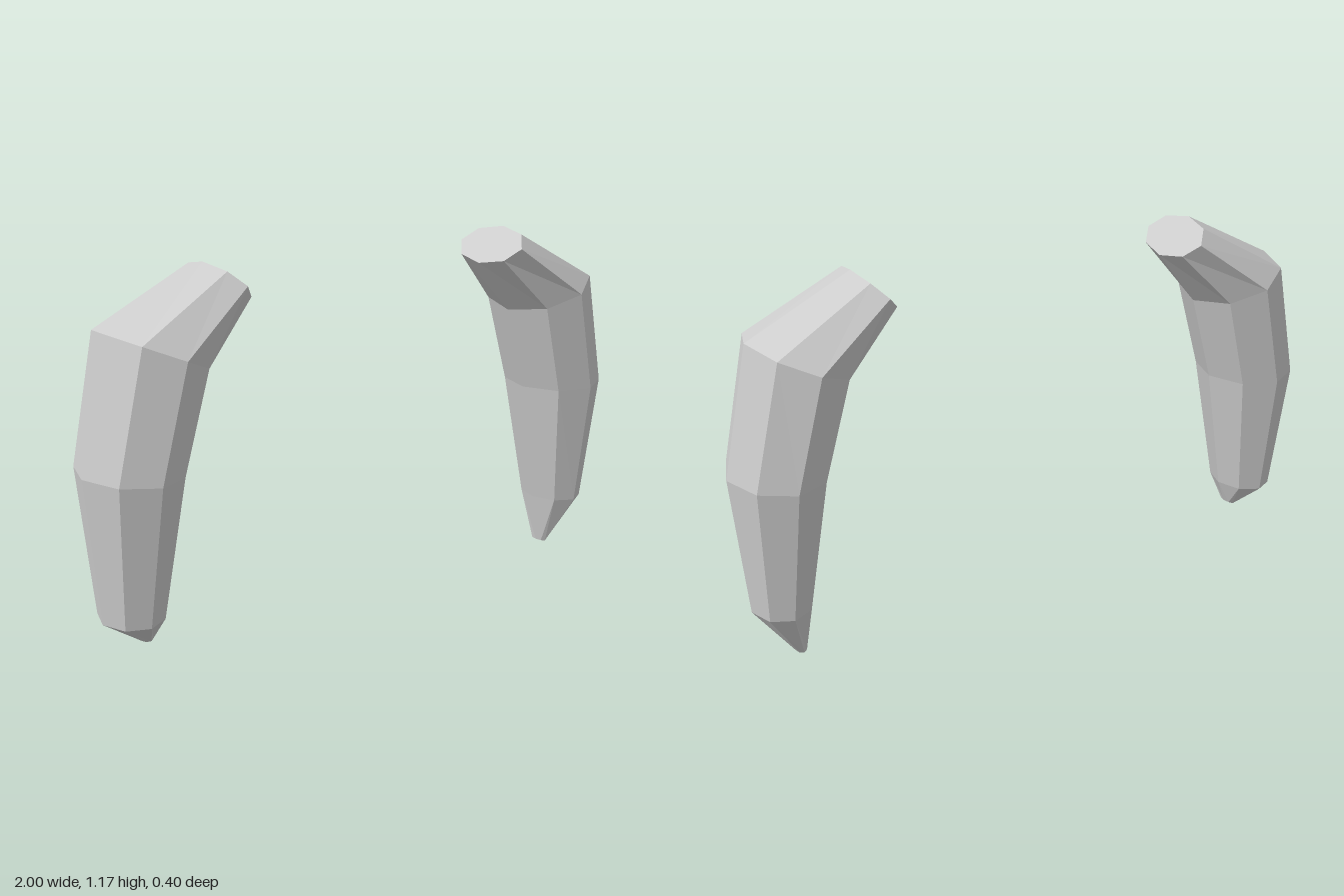
import * as THREE from 'three';

const SIDES = 8;

// Sections from base to tip: outer x, outer y, inner x, inner y, half depth in z
const BODY = [
  [0.59, 1.168, 0.48, 1.055, 0.142],
  [0.915, 1.007, 0.625, 0.88, 0.198],
  [1.0, 0.612, 0.708, 0.597, 0.184],
  [0.962, 0.172, 0.778, 0.176, 0.115],
];
const LONG_TIP = [0.836, 0.0, 0.803, 0.006, 0.03];
const SHORT_TIP = [0.842, 0.088, 0.808, 0.097, 0.03];

// Octagonal loft through the sections, closed at both ends; side is +1 or -1 in x
function hornGeometry(sections, side) {
  const positions = [];
  const index = [];
  const centre = ([ox, oy, ix, iy]) => [side * (ox + ix) / 2, (oy + iy) / 2, 0];

  for (const s of sections) {
    const [ox, oy, ix, iy, depth] = s;
    const [cx, cy] = centre(s);
    for (let j = 0; j < SIDES; j++) {
      const a = (j / SIDES) * Math.PI * 2;
      positions.push(
        cx + side * Math.cos(a) * (ox - ix) / 2,
        cy + Math.cos(a) * (oy - iy) / 2,
        side * Math.sin(a) * depth
      );
    }
  }
  const last = sections.length - 1;
  const baseCentre = sections.length * SIDES;
  const tipCentre = baseCentre + 1;
  positions.push(...centre(sections[0]), ...centre(sections[last]));

  for (let j = 0; j < SIDES; j++) {
    const k = (j + 1) % SIDES;
    for (let i = 0; i < last; i++) {
      const r = i * SIDES, d = r + SIDES;
      index.push(r + j, r + k, d + j, r + k, d + k, d + j);
    }
    index.push(baseCentre, k, j);
    index.push(tipCentre, last * SIDES + j, last * SIDES + k);
  }

  const geometry = new THREE.BufferGeometry();
  geometry.setAttribute('position', new THREE.Float32BufferAttribute(positions, 3));
  geometry.setIndex(index);
  const faceted = geometry.toNonIndexed();
  faceted.computeVertexNormals();
  return faceted;
}

export function createModel() {
  const group = new THREE.Group();
  group.name = 'hornPair';
  const material = new THREE.MeshStandardMaterial({ color: 0xcccccc, flatShading: true });

  // Left horn has the full tip, right horn a worn, shorter one
  for (const [name, side, tip] of [['leftHorn', 1, LONG_TIP], ['rightHorn', -1, SHORT_TIP]]) {
    const horn = new THREE.Mesh(hornGeometry([...BODY, tip], side), material);
    horn.name = name;
    group.add(horn);
  }
  return group;
}
